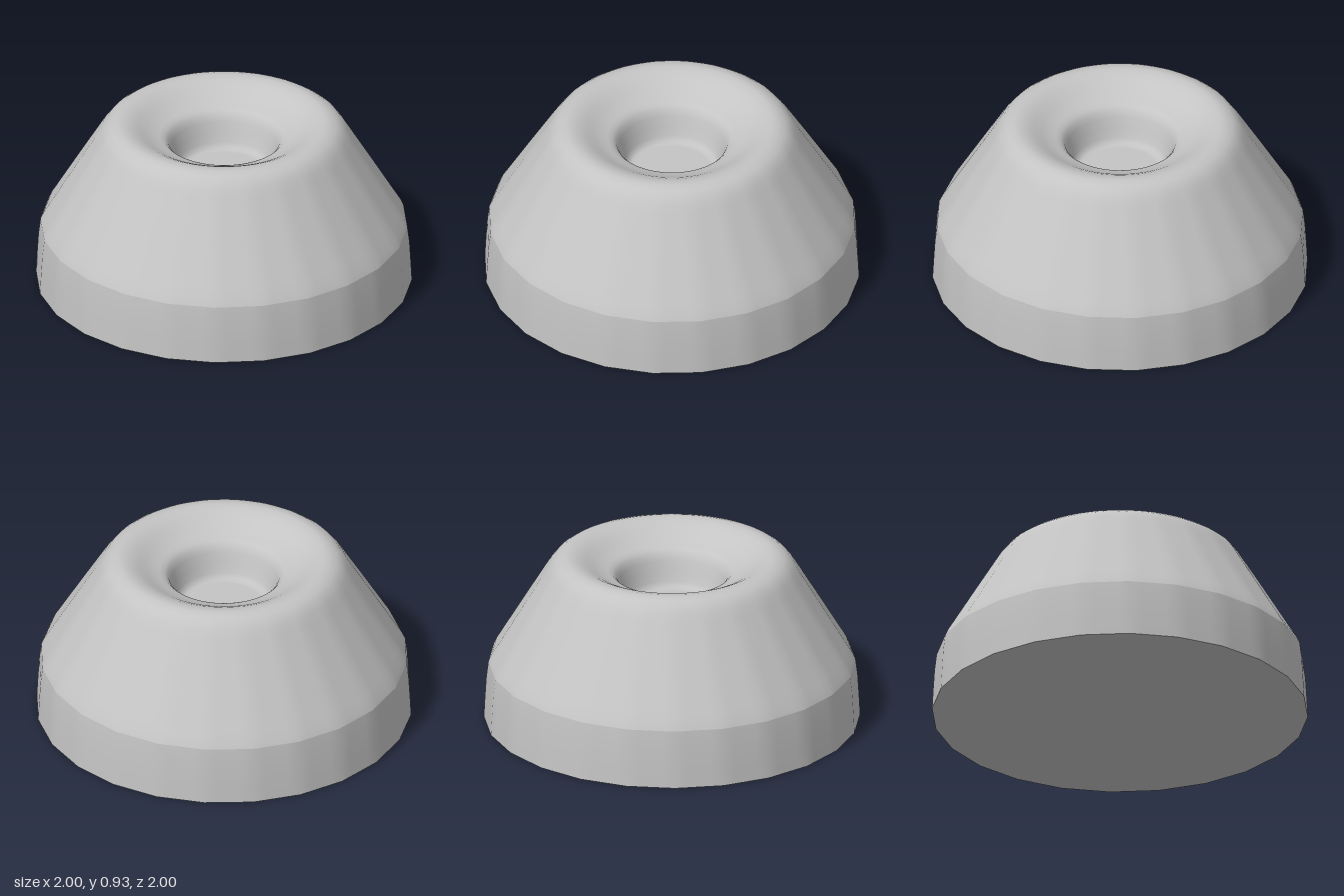
import * as THREE from 'three';
import { mergeVertices } from 'three/addons/utils/BufferGeometryUtils.js';

const FACETS = 24;

// Turned surface whose outer wall eases from a round rim into soft flat facets.
function facetedLathe(profile) {
  let geo = new THREE.LatheGeometry(profile.map(([r, y]) => new THREE.Vector2(r, y)), FACETS * 4);
  geo.deleteAttribute('uv');
  geo.deleteAttribute('normal');
  geo = mergeVertices(geo, 1e-5);
  const pos = geo.attributes.position;
  const step = (Math.PI * 2) / FACETS;
  for (let i = 0; i < pos.count; i++) {
    const x = pos.getX(i), z = pos.getZ(i);
    const angle = Math.atan2(x, z);
    const offset = angle - Math.round(angle / step) * step;
    const blend = THREE.MathUtils.smoothstep(Math.hypot(x, z), 0.55, 0.75);
    const k = 1 + blend * (1 / Math.cos(offset) - 1);
    pos.setX(i, x * k);
    pos.setZ(i, z * k);
  }
  geo.computeVertexNormals();
  return geo;
}

export function createModel() {
  const group = new THREE.Group();
  const grey = new THREE.MeshStandardMaterial({ color: 0xc4c4c4 });
  grey.name = 'light grey';

  const add = (name, profile) => {
    const mesh = new THREE.Mesh(facetedLathe(profile), grey);
    mesh.name = name;
    group.add(mesh);
  };

  // Short steep skirt
  add('skirt', [[1, 0], [0.995, 0.1], [0.987, 0.23], [0.976, 0.32]]);

  // Sloping wall, rounded rim, shallow dish, and central well
  add('bodyAndWell', [
    [0.976, 0.32], [0.96, 0.355], [0.93, 0.405], [0.8, 0.625], [0.685, 0.82],
    [0.66, 0.862], [0.635, 0.895], [0.605, 0.917], [0.57, 0.928], [0.54, 0.93],
    [0.5, 0.921], [0.46, 0.902], [0.42, 0.878], [0.38, 0.857], [0.345, 0.845],
    [0.318, 0.834], [0.298, 0.813], [0.284, 0.78], [0.268, 0.725], [0.252, 0.675],
    [0.24, 0.65], [0.222, 0.64], [0.2, 0.64], [0, 0.64],
  ]);

  // Flat underside
  add('underside', [[0, 0], [1, 0]]);

  return group;
}
